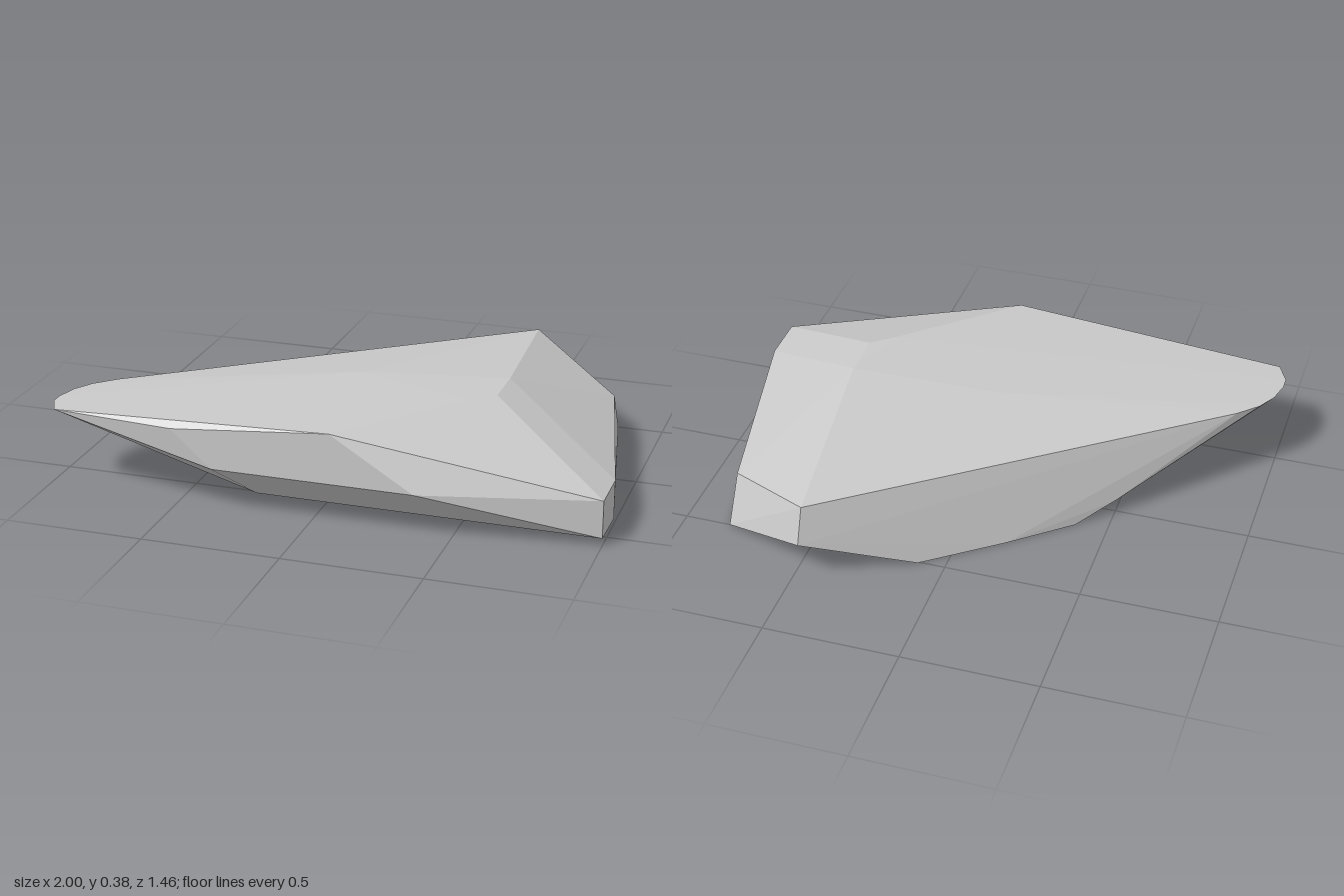
import * as THREE from 'three';
import { ConvexGeometry } from 'three/addons/geometries/ConvexGeometry.js';

export function createModel() {
  const model = new THREE.Group();
  model.name = 'rock';
  const stone = new THREE.MeshStandardMaterial({ color: 0xc9c9c9 });
  stone.name = 'light grey stone';

  // Corner rings of the faceted boulder, each as [x, y, z]
  const crown = [
    [0.545, 0.375, 0.08], [0.545, 0.375, 0.26], [0.46, 0.375, 0.33],
    [0, 0.351, 0.12], [0.08, 0.35, 0.725],
  ];
  const leftTip = [
    [-0.5, 0.298, 0.725], [-0.96, 0.297, 0.68], [-1, 0.297, 0.6], [-1, 0.297, 0.55],
    [-0.98, 0.297, 0.47], [-0.94, 0.297, 0.4], [-0.87, 0.297, 0.33],
  ];
  const waist = [
    [-0.35, 0.165, 0.725], [0.38, 0.165, 0.725], [1, 0.165, 0.575], [1, 0.165, 0.39],
    [0.83, 0.165, -0.4], [0.465, 0.297, -0.68], [0.465, 0.165, -0.73],
  ];
  const base = [
    [-0.24, 0.028, 0.575], [1, 0.028, 0.575], [1, 0.022, 0.39],
    [0.83, 0, -0.5], [0.1, 0, -0.505], [-0.17, 0, -0.3], [-0.38, 0, -0.125],
    [-0.5, 0.06, -0.02], [-0.38, 0, 0.06], [0.03, 0, 0.2], [0.76, 0, 0.2],
  ];

  // The boulder is the convex shell around all its corners
  const corners = [...crown, ...leftTip, ...waist, ...base].map((p) => new THREE.Vector3(...p));
  const boulder = new THREE.Mesh(new ConvexGeometry(corners), stone);
  boulder.name = 'boulder';
  model.add(boulder);
  return model;
}
